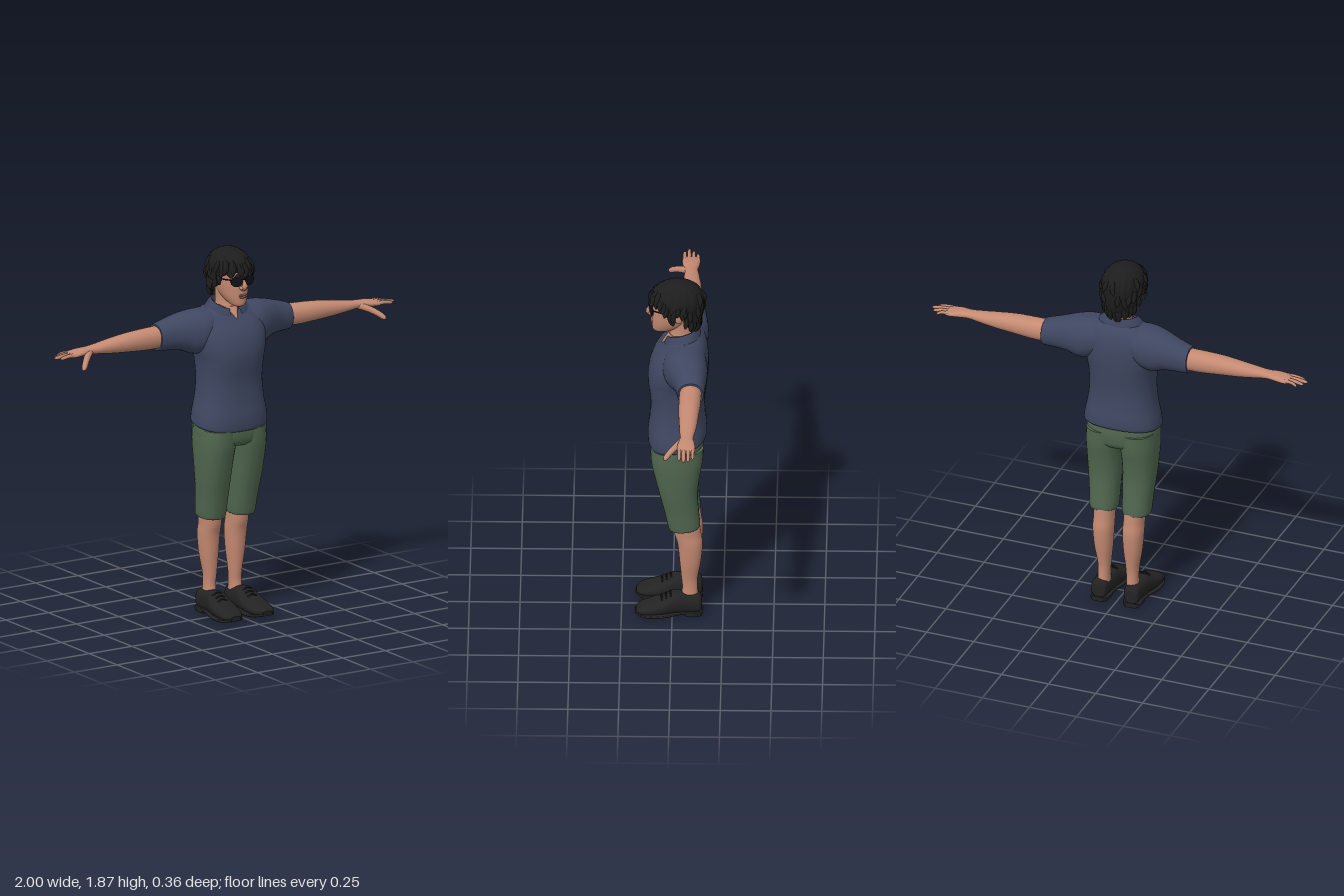
import * as THREE from 'three';

const mat = (name, color, side = THREE.FrontSide) => {
  const m = new THREE.MeshStandardMaterial({ color, side });
  m.name = name;
  return m;
};
const M = {
  skin: mat('skin', 0xc58a72), lips: mat('lips', 0xa5695a), shirt: mat('navy shirt', 0x3f4761),
  collar: mat('navy collar', 0x3b435c, THREE.DoubleSide), shorts: mat('green shorts', 0x50674f),
  shoe: mat('black leather', 0x232323), hair: mat('black hair', 0x1d1d1d, THREE.DoubleSide),
  lens: mat('dark lens', 0x111316),
};

// Smooth interpolation through a list of number rows
function smoothRow(rows, u) {
  const f = u * (rows.length - 1), i = Math.min(Math.floor(f), rows.length - 2), t = f - i;
  const at = k => rows[Math.max(0, Math.min(rows.length - 1, k))];
  const [p, q, r, s] = [at(i - 1), at(i), at(i + 1), at(i + 2)];
  return q.map((_, k) => q[k] + 0.5 * t * (r[k] - p[k]
    + t * (2 * p[k] - 5 * q[k] + 4 * r[k] - s[k] + t * (3 * (q[k] - r[k]) + s[k] - p[k]))));
}

// Make triangles face outwards on a closed shape
function faceOut(g) {
  const p = g.attributes.position, ix = g.index.array, v = [0, 1, 2].map(() => new THREE.Vector3());
  let vol = 0;
  for (let i = 0; i < ix.length; i += 3) {
    v.forEach((w, k) => w.fromBufferAttribute(p, ix[i + k]));
    vol += v[0].dot(v[1].clone().cross(v[2]));
  }
  if (vol < 0) for (let i = 0; i < ix.length; i += 3) [ix[i], ix[i + 1]] = [ix[i + 1], ix[i]];
  g.computeVertexNormals();
  return g;
}

// Capped loft: each row is [position along axis, aMin, aMax, bMin, bMax]
// axis y: a = x, b = z;  axis x: a = y, b = z;  axis z: a = x, b = y
function loft(axis, rows, exp = 2.2, n = 32, warp) {
  const pos = [], idx = [], steps = (rows.length - 1) * 5;
  const put = (t, a, b) => {
    const p = axis === 'y' ? [a, t, b] : axis === 'x' ? [t, a, b] : [a, b, t];
    pos.push(...(warp ? warp(p) : p));
  };
  const ring = u => {
    const [t, a0, a1, b0, b1] = smoothRow(rows, u);
    for (let j = 0; j < n; j++) {
      const w = j / n * Math.PI * 2, c = Math.cos(w), s = Math.sin(w);
      put(t, (a0 + a1) / 2 + (a1 - a0) / 2 * Math.sign(c) * Math.abs(c) ** (2 / exp),
        (b0 + b1) / 2 + (b1 - b0) / 2 * Math.sign(s) * Math.abs(s) ** (2 / exp));
    }
    return [t, (a0 + a1) / 2, (b0 + b1) / 2];
  };
  for (let i = 0; i <= steps; i++) ring(i / steps);
  for (let i = 0; i < steps; i++) for (let j = 0; j < n; j++) {
    const a = i * n + j, b = i * n + (j + 1) % n;
    idx.push(a, a + n, b, b, a + n, b + n);
  }
  for (const u of [0, 1]) {
    const base = pos.length / 3;
    put(...ring(u));
    for (let j = 0; j < n; j++) {
      const a = base + j, b = base + (j + 1) % n;
      idx.push(base + n, ...(u ? [b, a] : [a, b]));
    }
  }
  const g = new THREE.BufferGeometry();
  g.setAttribute('position', new THREE.Float32BufferAttribute(pos, 3));
  g.setIndex(idx);
  return faceOut(g);
}

// Tube whose radius follows a rule along its length
function taper(points, radius, seg = 14, sides = 10) {
  const curve = new THREE.CatmullRomCurve3(points.map(p => new THREE.Vector3(...p)));
  const g = new THREE.TubeGeometry(curve, seg, 1, sides), p = g.attributes.position, v = new THREE.Vector3();
  for (let i = 0; i < p.count; i++) {
    const u = Math.floor(i / (sides + 1)) / seg, c = curve.getPointAt(u);
    v.fromBufferAttribute(p, i).sub(c).multiplyScalar(radius(u)).add(c);
    p.setXYZ(i, v.x, v.y, v.z);
  }
  return g;
}
const fingertip = r => u => r * (1 - 0.25 * u) * Math.sqrt(Math.max(0, 1 - Math.max(0, (u - 0.8) / 0.2) ** 2));
const ball = (x, y, z, rx, ry, rz) => new THREE.SphereGeometry(1, 20, 14).scale(rx, ry, rz).translate(x, y, z);

function mirrored(g) {
  const m = g.clone().scale(-1, 1, 1), ix = m.index.array;
  for (let i = 0; i < ix.length; i += 3) [ix[i], ix[i + 1]] = [ix[i + 1], ix[i]];
  return m;
}

export function createModel() {
  const model = new THREE.Group();
  const add = (name, g, m) => {
    const mesh = new THREE.Mesh(g, m);
    mesh.name = name;
    model.add(mesh);
  };
  const pair = (name, g, m) => { add('left ' + name, g, m); add('right ' + name, mirrored(g), m); };

  // Shirt, with a hem that rises towards the back
  const hem = ([x, y, z]) => [x, y + Math.min(1, Math.max(0, (1.15 - y) / 0.19)) * 0.16 * (0.115 - z), z];
  add('shirt body', loft('y', [
    [0.953, -0.186, 0.186, -0.162, 0.11], [0.965, -0.194, 0.194, -0.17, 0.119], [1.02, -0.189, 0.189, -0.17, 0.121],
    [1.1, -0.175, 0.175, -0.163, 0.112], [1.2, -0.166, 0.166, -0.16, 0.108], [1.3, -0.171, 0.171, -0.171, 0.12],
    [1.37, -0.186, 0.186, -0.178, 0.118], [1.45, -0.195, 0.195, -0.178, 0.092], [1.52, -0.185, 0.185, -0.165, 0.04],
    [1.56, -0.125, 0.125, -0.14, 0.005], [1.575, -0.07, 0.07, -0.115, -0.015]], 2.4, 48, hem), M.shirt);
  pair('sleeve', loft('x', [
    [0.08, 1.38, 1.565, -0.165, 0.03], [0.15, 1.345, 1.564, -0.174, 0.045], [0.2, 1.342, 1.56, -0.176, 0.033],
    [0.25, 1.362, 1.55, -0.173, 0.01], [0.31, 1.371, 1.533, -0.167, -0.014], [0.375, 1.374, 1.513, -0.162, -0.028],
    [0.386, 1.378, 1.508, -0.158, -0.032]], 2.2), M.shirt);

  // Fold-over collar, open at the front
  const cp = [], ci = [], N = 40;
  for (let i = 0; i <= N; i++) {
    const w = 0.3 + i / N * (Math.PI * 2 - 0.6), back = (1 - Math.cos(w)) / 2;
    const rows = [[0.066, 0.066, 1.53, 1.57], [0.072, 0.068, 1.557, 1.6], [0.08, 0.074, 1.56, 1.603],
      [0.098, 0.083, 1.55, 1.59], [0.116, 0.092, 1.525, 1.568]];
    for (const [rx, rz, yf, yb] of rows)
      cp.push(Math.sin(w) * rx, yf + (yb - yf) * back + 0.012 * Math.sin(w) ** 2, -0.048 + Math.cos(w) * rz);
    for (let j = 0; j < 4 && i < N; j++) ci.push(i * 5 + j, i * 5 + j + 1, i * 5 + j + 5, i * 5 + j + 1, i * 5 + j + 6, i * 5 + j + 5);
  }
  const collar = new THREE.BufferGeometry();
  collar.setAttribute('position', new THREE.Float32BufferAttribute(cp, 3));
  collar.setIndex(ci);
  collar.computeVertexNormals();
  add('collar', collar, M.collar);
  add('neck opening', loft('y', [[1.512, -0.003, 0.003, 0, 0.056], [1.535, -0.018, 0.018, -0.03, 0.042],
    [1.57, -0.042, 0.042, -0.06, 0.017]], 2.2, 20), M.skin);

  // Arms and hands
  pair('arm', loft('x', [
    [0.35, 1.39, 1.5, -0.15, -0.04], [0.45, 1.39, 1.497, -0.147, -0.038], [0.55, 1.397, 1.492, -0.14, -0.037],
    [0.65, 1.405, 1.48, -0.132, -0.042], [0.73, 1.415, 1.468, -0.122, -0.046], [0.79, 1.422, 1.461, -0.114, -0.05],
    [0.84, 1.422, 1.458, -0.122, -0.038], [0.89, 1.42, 1.45, -0.125, -0.035], [0.912, 1.425, 1.444, -0.12, -0.042]], 2.2, 24), M.skin);
  [[-0.113, 0.958, 1.42, 0.0095], [-0.091, 0.986, 1.425, 0.011], [-0.069, 1, 1.43, 0.0115], [-0.047, 0.978, 1.428, 0.011]]
    .forEach(([z, x, y, r], i) => pair('finger ' + (i + 1),
      taper([[0.87, 1.436, z], [0.93, 1.437, z], [x, y, z]], fingertip(r)), M.skin));
  pair('thumb', taper([[0.79, 1.437, -0.068], [0.83, 1.42, -0.03], [0.865, 1.397, 0.006], [0.89, 1.374, 0.03]],
    fingertip(0.018)), M.skin);

  // Shorts
  add('shorts seat', loft('y', [[0.875, -0.15, 0.15, -0.13, 0.08], [0.9, -0.178, 0.178, -0.148, 0.103],
    [0.95, -0.182, 0.182, -0.156, 0.11], [1.0, -0.175, 0.175, -0.155, 0.105]], 2.4), M.shorts);
  pair('shorts leg', loft('y', [
    [0.494, 0.023, 0.15, -0.131, 0.012], [0.506, 0.016, 0.157, -0.138, 0.02], [0.6, 0.013, 0.163, -0.131, 0.04],
    [0.7, 0.01, 0.173, -0.126, 0.064], [0.8, 0.005, 0.18, -0.136, 0.087], [0.88, -0.004, 0.183, -0.15, 0.103],
    [0.96, -0.01, 0.18, -0.155, 0.108]], 2.3, 32,
    ([x, y, z]) => [x, y + 0.12 * Math.max(0, 0.6 - y) * -z * 8, z]), M.shorts);

  // Lower legs
  pair('lower leg', loft('y', [
    [0.08, 0.045, 0.108, -0.13, -0.04], [0.14, 0.046, 0.105, -0.125, -0.05], [0.2, 0.042, 0.107, -0.126, -0.045],
    [0.3, 0.032, 0.123, -0.142, -0.036], [0.4, 0.027, 0.131, -0.15, -0.026], [0.46, 0.028, 0.13, -0.142, -0.01],
    [0.54, 0.027, 0.135, -0.135, 0.0]]), M.skin);

  // Shoes: upper, sole, heel and laces
  pair('shoe upper', loft('z', [
    [-0.146, 0.06, 0.112, 0.025, 0.088], [-0.132, 0.046, 0.126, 0.015, 0.114], [-0.07, 0.038, 0.13, 0.012, 0.118],
    [-0.01, 0.03, 0.14, 0.01, 0.122], [0.045, 0.023, 0.152, 0.01, 0.092], [0.1, 0.023, 0.155, 0.01, 0.07],
    [0.15, 0.036, 0.147, 0.011, 0.053], [0.178, 0.066, 0.12, 0.018, 0.037]], 2.5, 28), M.shoe);
  pair('shoe sole', loft('z', [
    [-0.149, 0.058, 0.114, 0.012, 0.026], [-0.132, 0.042, 0.13, 0.012, 0.026], [-0.05, 0.036, 0.133, 0.012, 0.026],
    [0.04, 0.02, 0.154, 0.004, 0.02], [0.1, 0.019, 0.158, 0.002, 0.018], [0.15, 0.033, 0.15, 0.006, 0.022],
    [0.182, 0.066, 0.12, 0.014, 0.028]], 5, 24), M.shoe);
  pair('shoe heel', loft('z', [[-0.148, 0.06, 0.112, 0, 0.02], [-0.13, 0.044, 0.128, 0, 0.02], [-0.065, 0.04, 0.13, 0, 0.02]], 6, 24), M.shoe);
  for (let i = 0; i < 3; i++) {
    const z = 0.005 + i * 0.022, y = 0.118 - i * 0.012;
    pair('shoe lace ' + (i + 1), taper([[0.055, y - 0.012, z], [0.086, y + 0.003, z + 0.004], [0.12, y - 0.012, z]], () => 0.004, 8, 6), M.shoe);
  }

  // Neck, head and face
  add('neck', loft('y', [[1.5, -0.06, 0.06, -0.11, 0.02], [1.56, -0.056, 0.056, -0.108, 0.014],
    [1.6, -0.053, 0.053, -0.106, 0.005], [1.68, -0.056, 0.056, -0.11, 0.01]], 2), M.skin);
  add('head', loft('y', [
    [1.584, -0.02, 0.02, 0.03, 0.083], [1.594, -0.035, 0.035, -0.005, 0.097], [1.625, -0.054, 0.054, -0.06, 0.101],
    [1.66, -0.066, 0.066, -0.1, 0.102], [1.7, -0.073, 0.073, -0.12, 0.102], [1.74, -0.077, 0.077, -0.13, 0.099],
    [1.78, -0.079, 0.079, -0.13, 0.1], [1.82, -0.068, 0.068, -0.11, 0.075], [1.845, -0.04, 0.04, -0.08, 0.035]], 2.15, 36), M.skin);
  add('nose', taper([[0, 1.745, 0.092], [0, 1.715, 0.108], [0, 1.692, 0.12], [0, 1.68, 0.1]],
    u => 0.006 + 0.009 * u), M.skin);
  pair('nostril', ball(0.012, 1.684, 0.107, 0.009, 0.008, 0.012), M.skin);
  add('upper lip', ball(0, 1.645, 0.101, 0.024, 0.005, 0.008), M.lips);
  add('lower lip', ball(0, 1.635, 0.1, 0.02, 0.006, 0.009), M.lips);
  pair('ear', ball(0.08, 1.697, -0.032, 0.012, 0.031, 0.02), M.skin);

  // Sunglasses
  pair('lens', new THREE.CylinderGeometry(1, 1, 0.006, 28).rotateX(Math.PI / 2).scale(0.031, 0.026, 1)
    .rotateY(0.3).translate(0.037, 1.719, 0.103), M.lens);
  add('glasses bridge', taper([[-0.015, 1.73, 0.11], [0, 1.733, 0.116], [0.015, 1.73, 0.11]], () => 0.0035, 8, 6), M.lens);
  pair('glasses temple', taper([[0.064, 1.729, 0.093], [0.08, 1.728, 0.06], [0.085, 1.722, -0.03]], () => 0.0035, 10, 6), M.lens);

  // Hair cap with an uneven lower edge, a is the angle from the front
  const edgeTable = [[0, 1.765], [40, 1.765], [62, 1.745], [70, 1.69], [80, 1.69], [87, 1.725], [104, 1.72], [116, 1.645], [180, 1.615]];
  const edge = w => {
    const a = Math.abs(Math.atan2(Math.sin(w), Math.cos(w))) * 180 / Math.PI;
    const i = Math.max(1, edgeTable.findIndex(e => e[0] >= a - 1e-6)), [p, q] = [edgeTable[i - 1], edgeTable[i]];
    return p[1] + (q[1] - p[1]) * (a - p[0]) / (q[0] - p[0]);
  };
  const hairPoint = (w, y, k = 1) => {
    const d = y - 1.765, r = d > 0 ? Math.sqrt(Math.max(0, 1 - (d / 0.1) ** 2)) : 1 - 9 * d * d;
    return [Math.sin(w) * 0.105 * r * k, y, -0.025 + Math.cos(w) * 0.133 * r * k];
  };
  const hp = [], hi = [], W = 72, V = 18;
  for (let i = 0; i <= V; i++) for (let j = 0; j < W; j++) {
    const w = j / W * Math.PI * 2, low = edge(w);
    const y = i < 11 ? 1.765 + 0.1 * Math.cos(i / 10 * Math.PI / 2) : 1.765 + (low - 1.765) * Math.min(1, (i - 10) / 7);
    const wave = 1 + 0.018 * Math.sin(j * 1.6 + i * 0.5) * Math.min(1, i / 6);
    hp.push(...hairPoint(w, y, i === V ? 0.78 : wave));
    const a = i * W + j, b = i * W + (j + 1) % W;
    if (i < V) hi.push(a, a + W, b, b, a + W, b + W);
  }
  const hair = new THREE.BufferGeometry();
  hair.setAttribute('position', new THREE.Float32BufferAttribute(hp, 3));
  hair.setIndex(hi);
  hair.computeVertexNormals();
  add('hair cap', hair, M.hair);

  // Loose locks around the edge and over the crown
  let seed = 7;
  const rnd = () => (seed = (seed * 16807) % 2147483647) / 2147483647;
  for (let i = 0; i < 64; i++) {
    const w = i * 2.39996, a = Math.abs(Math.atan2(Math.sin(w), Math.cos(w))), crown = i > 38;
    const top = crown ? 1.73 + 0.1 * rnd() : edge(w) + 0.04;
    const drop = crown ? 0.07 : a < 1 ? 0.05 + 0.02 * rnd() : a > 1.45 && a < 1.9 ? 0.05 : 0.06 + 0.03 * rnd();
    const s = (rnd() - 0.5) * 0.4, end = Math.max(top - drop, edge(w) - 0.03);
    add('hair lock ' + (i + 1), taper([hairPoint(w, top, 0.94), hairPoint(w + s * 0.4, (top + end) / 2, 0.99),
      hairPoint(w + s, end, 1.02)], u => 0.015 * Math.sin(Math.PI * (0.15 + 0.85 * u)) ** 0.8, 8, 7), M.hair);
  }
  return model;
}
